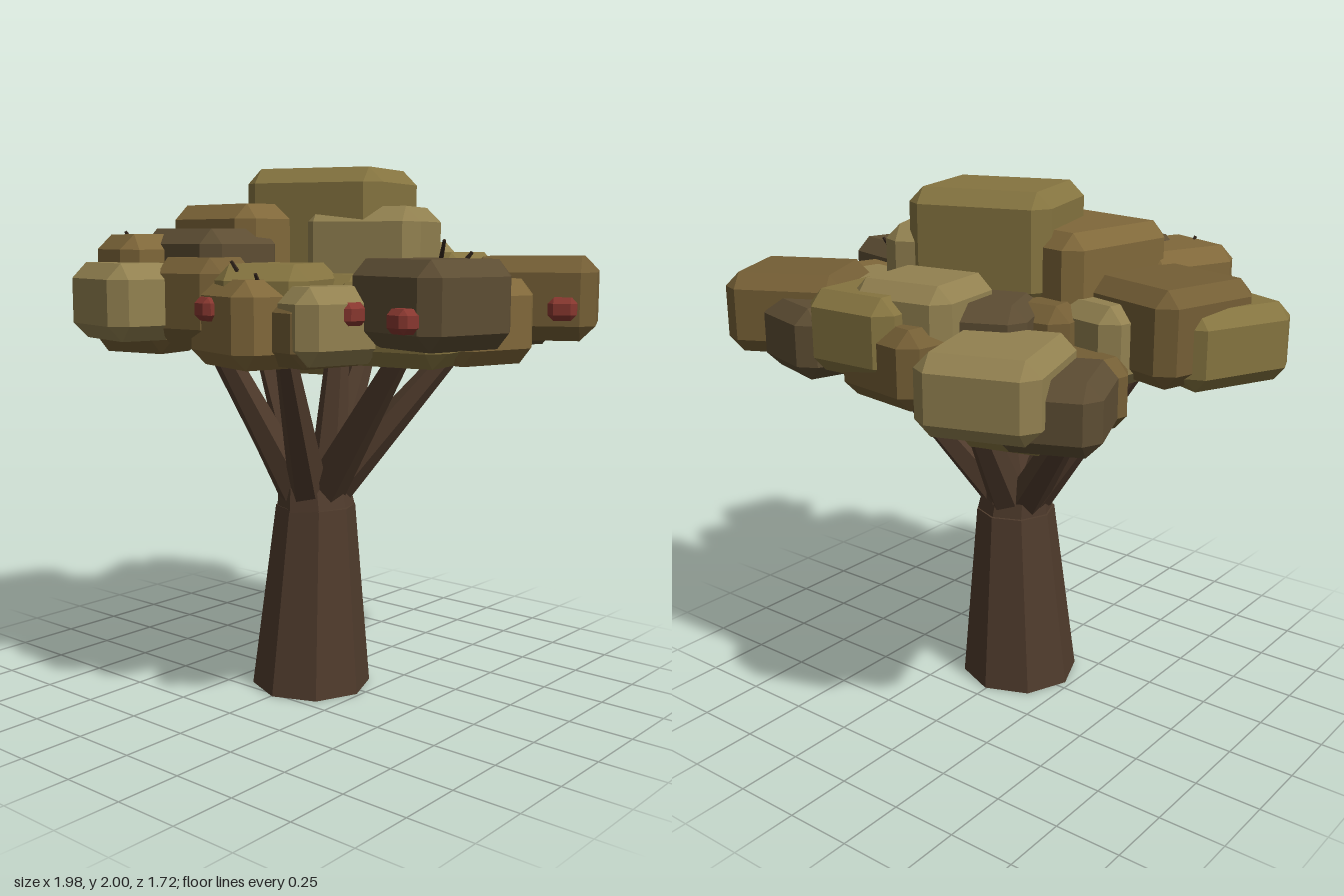
import * as THREE from 'three';
import { ConvexGeometry } from 'three/addons/geometries/ConvexGeometry.js';

const mat = (color) => new THREE.MeshStandardMaterial({ color, flatShading: true });

// Box with every edge and corner cut off by c
function chamferBox(w, h, d, c) {
  const pts = [];
  const half = [w / 2, h / 2, d / 2];
  for (const sx of [-1, 1]) for (const sy of [-1, 1]) for (const sz of [-1, 1]) {
    const s = [sx, sy, sz];
    for (let full = 0; full < 3; full++) {
      pts.push(new THREE.Vector3(...half.map((v, i) => s[i] * (i === full ? v : v - c))));
    }
  }
  return new ConvexGeometry(pts);
}

// Tapered faceted limb between two points
function limb(a, b, r0, r1, sides, material, name) {
  const from = new THREE.Vector3(...a), to = new THREE.Vector3(...b);
  const dir = to.clone().sub(from);
  const mesh = new THREE.Mesh(new THREE.CylinderGeometry(r1, r0, dir.length(), sides), material);
  mesh.position.copy(from).add(to).multiplyScalar(0.5);
  mesh.quaternion.setFromUnitVectors(new THREE.Vector3(0, 1, 0), dir.normalize());
  mesh.name = name;
  return mesh;
}

// Leaf clumps by shade: [x, z, width, depth, bottom, top, turn]
const CLUMPS = {
  olive: { color: 0x857440, list: [
    [0.04, -0.05, 0.54, 0.47, 1.6, 2.0, 0.29],
    [-0.73, 0.18, 0.42, 0.45, 1.36, 1.64, -0.42],
    [0.17, -0.57, 0.38, 0.36, 1.4, 1.69, 0.04],
    [0.58, 0.18, 0.44, 0.44, 1.32, 1.6, 0.15],
    [0.18, 0.42, 0.34, 0.44, 1.36, 1.66, 0.4],
    [-0.32, -0.38, 0.36, 0.42, 1.19, 1.46, 0.25],
    [0.12, 0.08, 0.5, 0.46, 1.32, 1.62, 0.2],
    [0.3, -0.26, 0.5, 0.46, 1.32, 1.6, 0.3],
  ] },
  gold: { color: 0x80683a, list: [
    [-0.2, 0.1, 0.5, 0.52, 1.53, 1.87, -0.18],
    [-0.39, 0.44, 0.38, 0.41, 1.42, 1.76, -0.4],
    [0.17, 0.51, 0.4, 0.37, 1.31, 1.61, -0.3],
    [0.7, 0.02, 0.38, 0.36, 1.32, 1.61, -0.3],
  ] },
  brown: { color: 0x745e35, list: [
    [-0.61, 0.08, 0.47, 0.45, 1.38, 1.72, -0.28],
    [0.7, -0.43, 0.46, 0.43, 1.38, 1.68, 0.46],
    [0.03, -0.53, 0.4, 0.4, 1.32, 1.6, -0.15],
    [0.37, 0.46, 0.32, 0.34, 1.32, 1.56, -0.2],
    [-0.45, -0.33, 0.4, 0.34, 1.25, 1.5, -0.2],
    [-0.06, 0.54, 0.3, 0.28, 1.38, 1.68, 0.1],
    [-0.38, 0.52, 0.36, 0.28, 1.33, 1.56, 0.15],
    [-0.17, -0.1, 0.48, 0.46, 1.36, 1.64, 0.1],
  ] },
  dark: { color: 0x5d4d33, list: [
    [0.735, 0.285, 0.45, 0.39, 1.39, 1.68, -0.27],
    [-0.54, -0.48, 0.36, 0.39, 1.25, 1.5, 0.4],
    [-0.12, -0.33, 0.38, 0.4, 1.36, 1.66, 0.4],
    [0.48, -0.51, 0.36, 0.38, 1.34, 1.6, -0.3],
    [-0.18, 0.39, 0.42, 0.36, 1.45, 1.78, -0.08],
  ] },
  light: { color: 0x928150, list: [
    [0.21, -0.08, 0.44, 0.45, 1.5, 1.86, 0.4],
    [-0.37, -0.58, 0.43, 0.48, 1.3, 1.58, 0.32],
    [0.04, -0.47, 0.4, 0.37, 1.42, 1.73, 0.14],
    [0.55, -0.22, 0.4, 0.42, 1.36, 1.63, -0.2],
    [-0.31, 0.69, 0.39, 0.28, 1.39, 1.66, -0.25],
    [0.46, 0.47, 0.22, 0.34, 1.33, 1.59, -0.3],
    [-0.45, -0.08, 0.34, 0.28, 1.36, 1.65, -0.2],
  ] },
};

export function createModel() {
  const tree = new THREE.Group();
  tree.name = 'tree';
  const bark = mat(0x4f3b2c);

  // Trunk, leaning slightly, with a tilted collar at the fork
  const trunk = new THREE.Mesh(new THREE.CylinderGeometry(0.155, 0.232, 0.72, 8), bark);
  trunk.name = 'trunk';
  const p = trunk.geometry.attributes.position;
  for (let i = 0; i < p.count; i++) {
    const top = p.getY(i) > 0;
    p.setX(i, p.getX(i) + (top ? 0.015 : 0.005));
    p.setZ(i, p.getZ(i) + (top ? 0.025 : 0.04));
  }
  trunk.position.y = 0.36;
  trunk.geometry.computeVertexNormals();
  tree.add(trunk);
  tree.add(limb([0.02, 0.71, 0.03], [0.01, 0.8, 0.03], 0.152, 0.138, 8, bark, 'trunkCollar'));

  // Branches
  const tips = [
    [-0.52, 1.38, -0.22], [-0.5, 1.4, 0.12], [-0.2, 1.48, 0.42], [0.02, 1.48, -0.12],
    [0.2, 1.4, 0.42], [0.52, 1.38, 0.12], [0.5, 1.4, -0.3], [-0.03, 1.42, -0.4],
  ];
  const branches = new THREE.Group();
  branches.name = 'branches';
  for (const tip of tips) {
    const len = Math.hypot(tip[0], tip[2]);
    const base = [0.01 + 0.07 * tip[0] / len, 0.78, 0.03 + 0.07 * tip[2] / len];
    branches.add(limb(base, tip, 0.078, 0.035, 6, bark, 'branch'));
  }
  tree.add(branches);

  // Leaf clumps
  const canopy = new THREE.Group();
  canopy.name = 'canopy';
  for (const [shade, { color, list }] of Object.entries(CLUMPS)) {
    const material = mat(color);
    for (const [x, z, w, d, y0, y1, turn] of list) {
      const clump = new THREE.Mesh(chamferBox(w, y1 - y0, d, 0.055), material);
      clump.position.set(x, (y0 + y1) / 2, z);
      clump.rotation.y = turn;
      clump.name = shade + 'LeafClump';
      canopy.add(clump);
    }
  }
  tree.add(canopy);

  // Berries
  const red = mat(0x87372f);
  for (const [x, y, z, turn] of [
    [0.1, 1.51, 0.67, -0.3], [0.8, 1.49, 0.52, -0.27], [0.92, 1.5, -0.25, 0.46], [0.54, 1.5, 0.47, -0.3],
  ]) {
    const berry = new THREE.Mesh(chamferBox(0.1, 0.08, 0.09, 0.02), red);
    berry.position.set(x, y, z);
    berry.rotation.y = turn;
    berry.name = 'berry';
    tree.add(berry);
  }

  // Twigs poking out of the leaves
  const twigBark = mat(0x33261c);
  for (const [a, b] of [
    [[0.69, 1.63, 0.18], [0.74, 1.74, 0.22]], [[0.75, 1.65, 0.14], [0.79, 1.7, 0.13]],
    [[0.19, 1.6, 0.6], [0.17, 1.67, 0.64]], [[0.27, 1.57, 0.6], [0.28, 1.63, 0.64]],
    [[-0.42, 1.72, 0.55], [-0.43, 1.77, 0.58]], [[-0.35, 1.68, 0.6], [-0.35, 1.73, 0.64]],
  ]) tree.add(limb(a, b, 0.01, 0.006, 5, twigBark, 'twig'));

  return tree;
}
